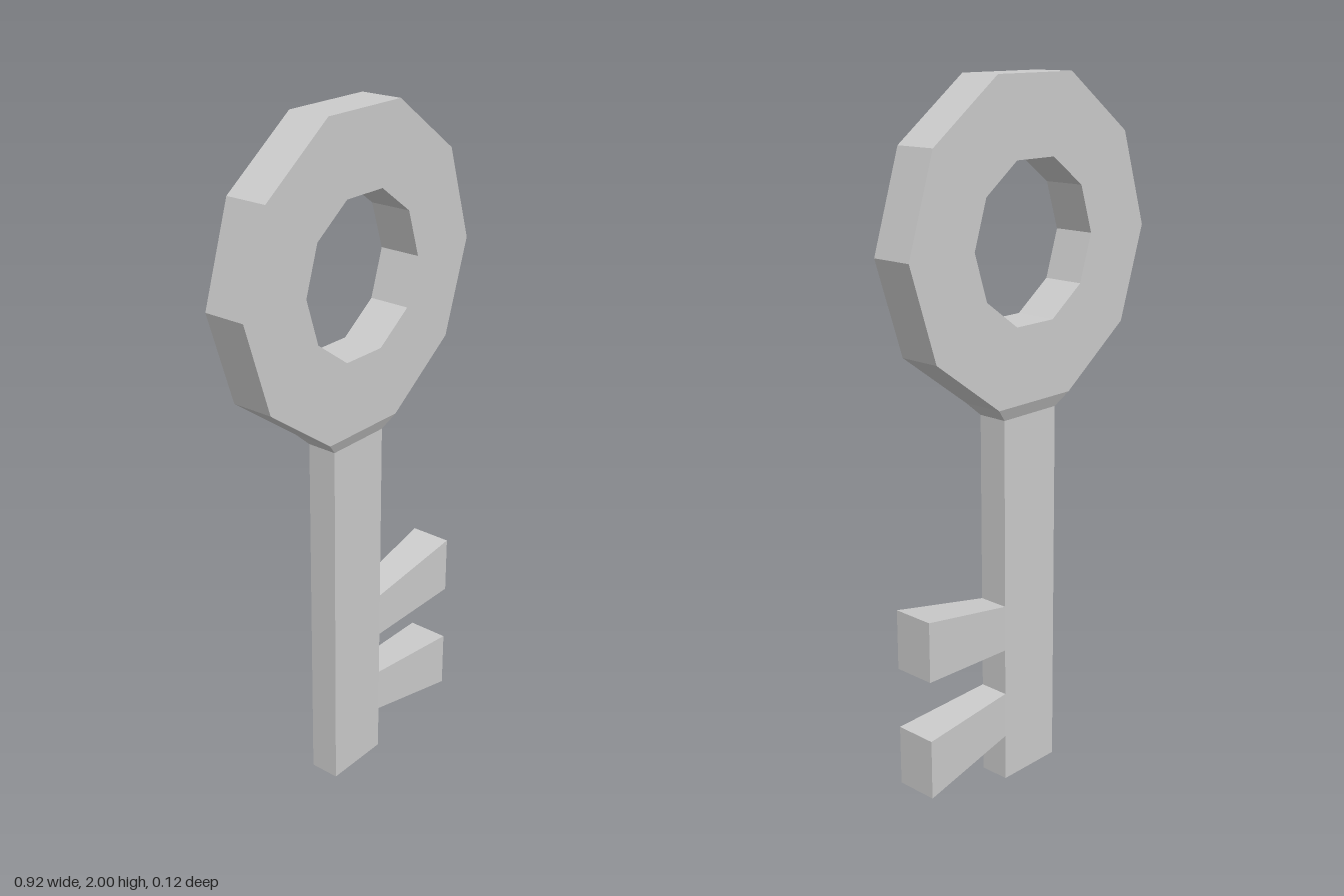
import * as THREE from 'three';

const material = new THREE.MeshStandardMaterial({ color: 0xcccccc, flatShading: true });

const RING = { y: 1.564, outer: 0.458, inner: 0.23, halfDepth: 0.0625, sides: 10 };
const SHAFT = { halfWidth: 0.103, halfDepth: 0.045, top: 1.09 };

function part(name, geometry) {
  const mesh = new THREE.Mesh(geometry, material);
  mesh.name = name;
  return mesh;
}

// Corners of a regular polygon with one corner on +x
function polygon(radius, sides) {
  return Array.from({ length: sides }, (_, i) => {
    const a = (i / sides) * Math.PI * 2;
    return new THREE.Vector2(radius * Math.cos(a), radius * Math.sin(a));
  });
}

// Unit box whose corners are moved by a rule
function shapedBox(rule) {
  const geometry = new THREE.BoxGeometry(1, 1, 1);
  const pos = geometry.attributes.position;
  for (let i = 0; i < pos.count; i++) {
    pos.setXYZ(i, ...rule(Math.sign(pos.getX(i)), Math.sign(pos.getY(i)), Math.sign(pos.getZ(i))));
  }
  geometry.computeVertexNormals();
  return geometry;
}

// Tooth that flares from the shaft to a taller, thicker tip
function tooth(root, tip) {
  return shapedBox((sx, sy, sz) => {
    const [low, high] = sx > 0 ? tip : root;
    return [
      sx > 0 ? 0.415 : SHAFT.halfWidth,
      sy > 0 ? high : low,
      sz * (sx > 0 ? RING.halfDepth : SHAFT.halfDepth),
    ];
  });
}

export function createModel() {
  const key = new THREE.Group();
  key.name = 'key';

  // Ten-sided ring handle
  const outline = new THREE.Shape(polygon(RING.outer, RING.sides));
  outline.holes.push(new THREE.Path(polygon(RING.inner, RING.sides).reverse()));
  const ring = new THREE.ExtrudeGeometry(outline, { depth: RING.halfDepth * 2, bevelEnabled: false });
  ring.translate(0, RING.y, -RING.halfDepth);
  key.add(part('ringHandle', ring));

  // Collar tapering from the ring's lowest side down to the shaft
  const step = Math.PI / RING.sides;
  const ringBottom = RING.y - RING.outer * Math.cos(step);
  const ringHalfSide = RING.outer * Math.sin(step);
  key.add(part('collar', shapedBox((sx, sy, sz) => sy > 0
    ? [sx * ringHalfSide, ringBottom, sz * RING.halfDepth]
    : [sx * SHAFT.halfWidth, SHAFT.top, sz * SHAFT.halfDepth])));

  // Shaft
  const shaft = new THREE.BoxGeometry(SHAFT.halfWidth * 2, SHAFT.top, SHAFT.halfDepth * 2);
  shaft.translate(0, SHAFT.top / 2, 0);
  key.add(part('shaft', shaft));

  // Teeth
  key.add(part('upperTooth', tooth([0.41, 0.545], [0.43, 0.604])));
  key.add(part('lowerTooth', tooth([0.138, 0.273], [0.079, 0.253])));

  return key;
}
